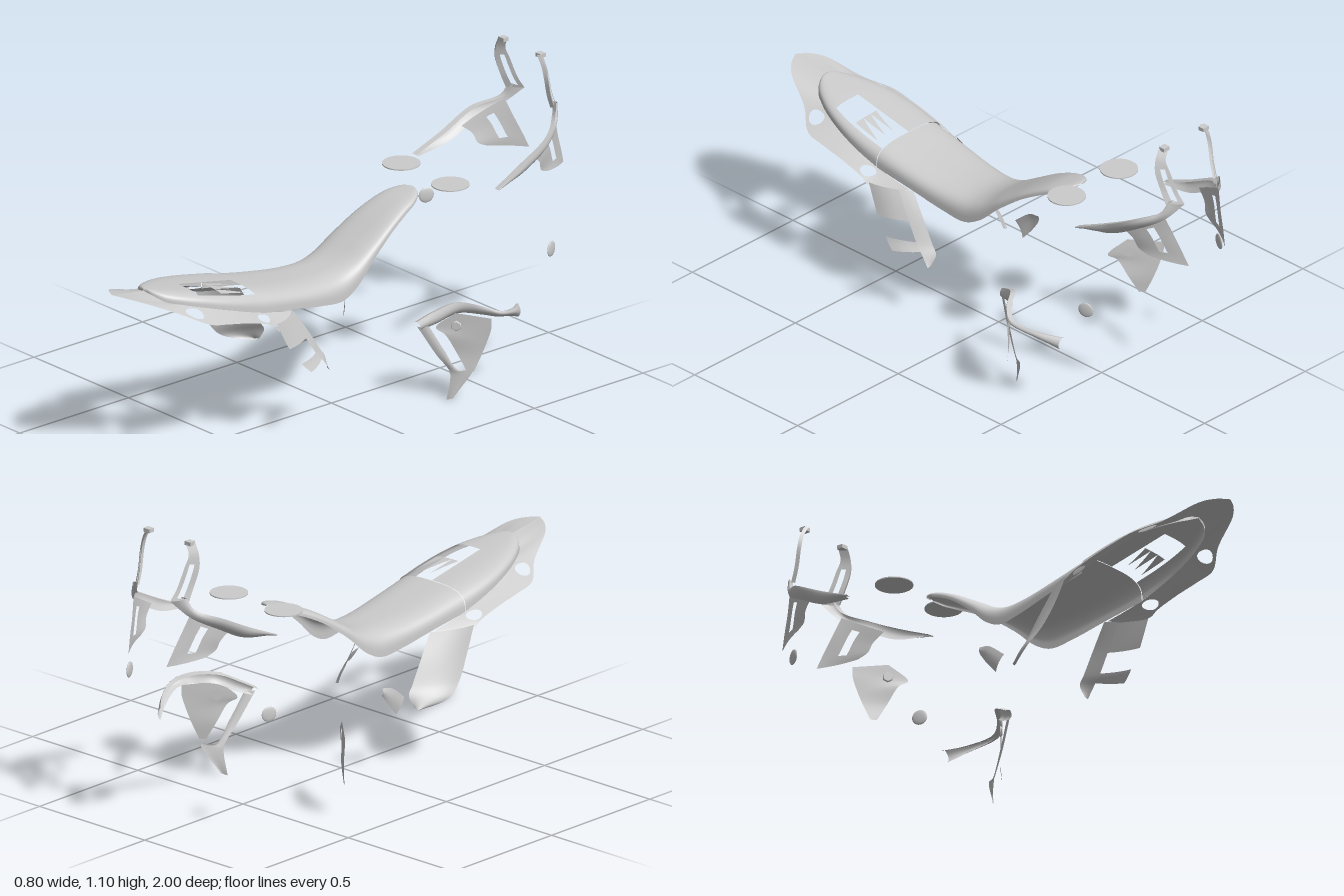
import * as THREE from 'three';

const X0 = -0.012; // plane of symmetry
const mat = new THREE.MeshStandardMaterial({ color: 0xcccccc, side: THREE.DoubleSide });
const curve = pts => new THREE.CatmullRomCurve3(pts.map(p => new THREE.Vector3(...p)));

// grid surface of fn(u, v) over a rectangle of parameters
function patch(fn, u0 = 0, u1 = 1, v0 = 0, v1 = 1, nu = 4, nv = 28) {
  const pos = [], idx = [];
  for (let j = 0; j <= nv; j++) for (let i = 0; i <= nu; i++) {
    pos.push(...fn(u0 + (u1 - u0) * i / nu, v0 + (v1 - v0) * j / nv));
    if (i < nu && j < nv) {
      const a = j * (nu + 1) + i, b = a + nu + 1;
      idx.push(a, a + 1, b, a + 1, b + 1, b);
    }
  }
  const g = new THREE.BufferGeometry();
  g.setAttribute('position', new THREE.Float32BufferAttribute(pos, 3));
  g.setIndex(idx);
  g.computeVertexNormals();
  return g;
}

// part of a surface between v0 and v1 with a round hole in its middle
function holedPatch(fn, v0, v1, radius) {
  return patch((r, t) => {
    const c = Math.cos(t * 2 * Math.PI), s = Math.sin(t * 2 * Math.PI);
    const d = radius + (1 / Math.max(Math.abs(c), Math.abs(s)) - radius) * r;
    return fn(0.5 + 0.5 * d * c, (v0 + v1) / 2 + (v1 - v0) / 2 * d * s);
  }, 0, 1, 0, 1, 3, 32);
}

// surface between two edge curves, bowed along x in the middle
function between(a, b, bowX = 0) {
  const A = curve(a), B = curve(b);
  return (u, v) => {
    const p = A.getPoint(v).lerp(B.getPoint(v), u);
    return [p.x + bowX * 4 * u * (1 - u), p.y, p.z];
  };
}

// narrow folded lip along an edge, reaching out by an offset
const lip = (edge, off) => patch(between(edge, edge.map(p => p.map((c, i) => c + off[i]))), 0, 1, 0, 1, 2);

// arched open shell from rows of [z, half width, top, rim]; u runs -1..1 across
function shell(rows) {
  const T = curve(rows.map(([z, w, t]) => [w, t, z]));
  const B = curve(rows.map(([z, w, , b]) => [w, b, z]));
  return (u, v) => {
    const t = T.getPoint(v), b = B.getPoint(v).y, a = u * Math.PI / 2;
    return [X0 + t.x * Math.sign(u) * Math.abs(Math.sin(a)) ** 0.65,
      b + (t.y - b) * Math.max(0, Math.cos(a)) ** 0.6, t.z];
  };
}

export function createModel() {
  const model = new THREE.Group();
  const add = (name, geo, parent = model) => {
    const m = new THREE.Mesh(geo, mat);
    m.name = name;
    parent.add(m);
    return m;
  };

  // seat
  add('seat', patch(shell([
    [-0.385, 0.008, 0.711, 0.705], [-0.37, 0.045, 0.711, 0.697], [-0.33, 0.073, 0.703, 0.68],
    [-0.28, 0.086, 0.688, 0.658], [-0.2, 0.102, 0.65, 0.615], [-0.1, 0.118, 0.592, 0.54],
    [-0.02, 0.128, 0.548, 0.468], [0.05, 0.134, 0.528, 0.436], [0.15, 0.14, 0.527, 0.445],
    [0.3, 0.15, 0.547, 0.475], [0.45, 0.157, 0.578, 0.5]]), -1, 1, 0, 1, 32, 60));

  // tail cowl, open at one side of the top
  const cowl = shell([
    [0.45, 0.16, 0.58, 0.505], [0.53, 0.16, 0.596, 0.53], [0.61, 0.153, 0.612, 0.556],
    [0.69, 0.135, 0.628, 0.58], [0.76, 0.108, 0.64, 0.598], [0.82, 0.07, 0.65, 0.612],
    [0.845, 0.035, 0.654, 0.625], [0.853, 0.002, 0.65, 0.64]]);
  add('cowlClosedHalf', patch(cowl, -1, 0, 0, 1, 16));
  add('cowlOpenSide', patch(cowl, 0.52, 1, 0, 0.44, 8));
  add('cowlTail', patch(cowl, 0, 1, 0.44, 1, 16));
  for (let i = 0; i < 3; i++) { // pointed ribs in the opening
    const u = [0.01, 0.08, 0.22][i], w = [0.07, 0.14, 0.2][i];
    add('cowlRib', patch((s, v) => cowl(u + w * (s * v + 1 - v), 0.06 + 0.2 * v), 0, 1, 0, 1, 2, 4));
  }

  // tail skirt from the cowl rim to its outer edge, with two holes each side
  const skirt = between(
    [[0, 0.645, 0.853], [0.04, 0.635, 0.843], [0.075, 0.615, 0.815], [0.107, 0.6, 0.76], [0.134, 0.58, 0.69],
      [0.15, 0.555, 0.61], [0.158, 0.53, 0.53], [0.16, 0.505, 0.45], [0.155, 0.485, 0.37], [0.148, 0.468, 0.3]],
    [[0, 0.668, 1], [0.045, 0.662, 0.975], [0.085, 0.648, 0.935], [0.145, 0.592, 0.815], [0.212, 0.55, 0.73],
      [0.218, 0.532, 0.65], [0.218, 0.512, 0.56], [0.218, 0.485, 0.47], [0.218, 0.465, 0.43], [0.175, 0.46, 0.34]]);
  // side legs: one whole, one cut into a strip and bars
  const leg = between(
    [[0.218, 0.475, 0.43], [0.226, 0.38, 0.385], [0.238, 0.3, 0.335], [0.243, 0.25, 0.275], [0.193, 0.22, 0.17]],
    [[0.14, 0.465, 0.29], [0.151, 0.38, 0.23], [0.157, 0.3, 0.18], [0.16, 0.27, 0.16], [0.18, 0.23, 0.165]], 0.014);
  const onSide = (fn, s) => (u, v) => { const p = fn(u, v); return [X0 + s * p[0], p[1], p[2]]; };
  for (const s of [1, -1]) {
    const fn = onSide(skirt, s);
    for (const [v0, v1] of [[0, 3 / 9], [4 / 9, 6.5 / 9], [7.5 / 9, 1]])
      add('tailSkirt', patch(fn, 0, 1, v0, v1));
    add('tailSkirt', holedPatch(fn, 3 / 9, 4 / 9, 0.7));
    add('tailSkirt', holedPatch(fn, 6.5 / 9, 7.5 / 9, 0.75));
  }
  add('rightLeg', patch(onSide(leg, -1), 0, 1, 0, 1, 8));
  for (const [u0, u1, v0, v1] of [[0.72, 1, 0, 1], [0, 0.72, 0, 0.28], [0.05, 0.72, 0.48, 0.66]])
    add('leftLegBar', patch(onSide(leg, 1), u0, u1, v0, v1));

  // paired front parts, drawn for the left and mirrored
  const armTop = [[0.228, 0.712, -0.58], [0.218, 0.765, -0.7], [0.208, 0.83, -0.83],
    [0.145, 0.872, -0.915], [0.126, 0.915, -0.935]];
  const arm = between(armTop,
    [[0.205, 0.706, -0.59], [0.195, 0.73, -0.72], [0.183, 0.785, -0.83], [0.135, 0.842, -0.925], [0.082, 0.9, -0.97]], 0.01);
  const stemOuter = [[0.128, 0.9, -0.925], [0.133, 0.95, -0.905], [0.141, 1.02, -0.885],
    [0.133, 1.065, -0.88], [0.112, 1.105, -0.877]];
  const stem = between(stemOuter,
    [[0.08, 0.9, -0.97], [0.09, 0.94, -0.948], [0.103, 1.02, -0.92], [0.108, 1.06, -0.905], [0.09, 1.1, -0.9]]);
  const bracket = between(
    [[0.19, 0.775, -0.775], [0.177, 0.74, -0.815], [0.167, 0.705, -0.83], [0.158, 0.687, -0.865]],
    [[0.135, 0.855, -0.925], [0.118, 0.79, -0.95], [0.102, 0.72, -0.98], [0.09, 0.668, -1]], 0.008);
  const shield = between(
    [[0.295, 0.34, -0.325], [0.243, 0.282, -0.28], [0.27, 0.258, -0.3], [0.296, 0.19, -0.33], [0.327, 0.125, -0.35]],
    [[0.388, 0.325, -0.41], [0.388, 0.29, -0.41], [0.375, 0.235, -0.4], [0.36, 0.18, -0.385], [0.345, 0.125, -0.365]]);
  for (const s of [1, -1]) {
    const side = new THREE.Group();
    side.name = s > 0 ? 'leftFrontParts' : 'rightFrontParts';
    side.position.x = X0;
    side.scale.x = s;
    model.add(side);
    add('arm', patch(arm), side);
    add('armLip', lip(armTop, [-0.022, 0, -0.004]), side);
    for (const [u0, u1, v0, v1] of [[0, 0.38, 0, 0.55], [0.72, 1, 0, 0.55], [0.38, 0.72, 0, 0.06], [0, 1, 0.55, 1]])
      add('stem', patch(stem, u0, u1, v0, v1), side);
    add('stemLip', lip(stemOuter, [-0.012, 0, 0.008]), side);
    add('stemTip', new THREE.BoxGeometry(0.028, 0.014, 0.024), side).position.set(0.098, 1.1, -0.888);
    for (const [u0, u1, v0, v1] of [[0, 0.5, 0, 1], [0.68, 1, 0, 1], [0.5, 0.68, 0, 0.15], [0.5, 0.68, 0.7, 1]])
      add('bracket', patch(bracket, u0, u1, v0, v1), side);
    add('shield', patch(shield), side);
    const boss = add('shieldBoss', new THREE.CylinderGeometry(0.016, 0.022, 0.008, 6), side);
    boss.position.set(0.297, 0.292, -0.327);
    boss.rotation.set(Math.PI / 2, 0.73, 0, 'YXZ');
    // flat discs and small lenses
    add('disc', new THREE.CylinderGeometry(0.067, 0.067, 0.004, 48), side).position.set(0.13, 0.741, -0.445);
    const lens = add('lens', new THREE.SphereGeometry(0.028, 24, 16), side);
    lens.scale.x = 0.2;
    lens.position.set(0.331, 0.484, -0.735);
    lens.rotation.y = 0.38;
  }

  // left lower frame: upper rail and strut
  const railTop = [[0.205, 0.312, -0.215], [0.235, 0.345, -0.27], [0.285, 0.378, -0.335], [0.36, 0.37, -0.39],
    [0.392, 0.35, -0.44], [0.355, 0.325, -0.53], [0.3, 0.308, -0.6]];
  add('upperRail', patch(between(railTop,
    [[0.21, 0.28, -0.225], [0.238, 0.3, -0.275], [0.28, 0.335, -0.34], [0.345, 0.335, -0.395],
      [0.37, 0.325, -0.435], [0.34, 0.293, -0.53], [0.305, 0.262, -0.595]], 0.012), 0, 1, 0, 1, 6, 40));
  add('railLip', lip(railTop, [-0.018, -0.006, -0.006]));
  add('strut', patch(between(
    [[0.207, 0.295, -0.215], [0.235, 0.18, -0.28], [0.25, 0.115, -0.325], [0.25, 0.085, -0.33], [0.236, 0.003, -0.325]],
    [[0.228, 0.295, -0.25], [0.25, 0.2, -0.3], [0.27, 0.118, -0.35], [0.298, 0.122, -0.395], [0.256, 0.01, -0.338]], 0.005)));

  // small right side plate
  add('sidePlate', patch(between(
    [[-0.195, 0.285, 0.112], [-0.2, 0.335, 0.045], [-0.195, 0.346, 0]],
    [[-0.193, 0.23, 0.072], [-0.196, 0.272, 0.035], [-0.193, 0.318, 0]], -0.006)));

  return model;
}
